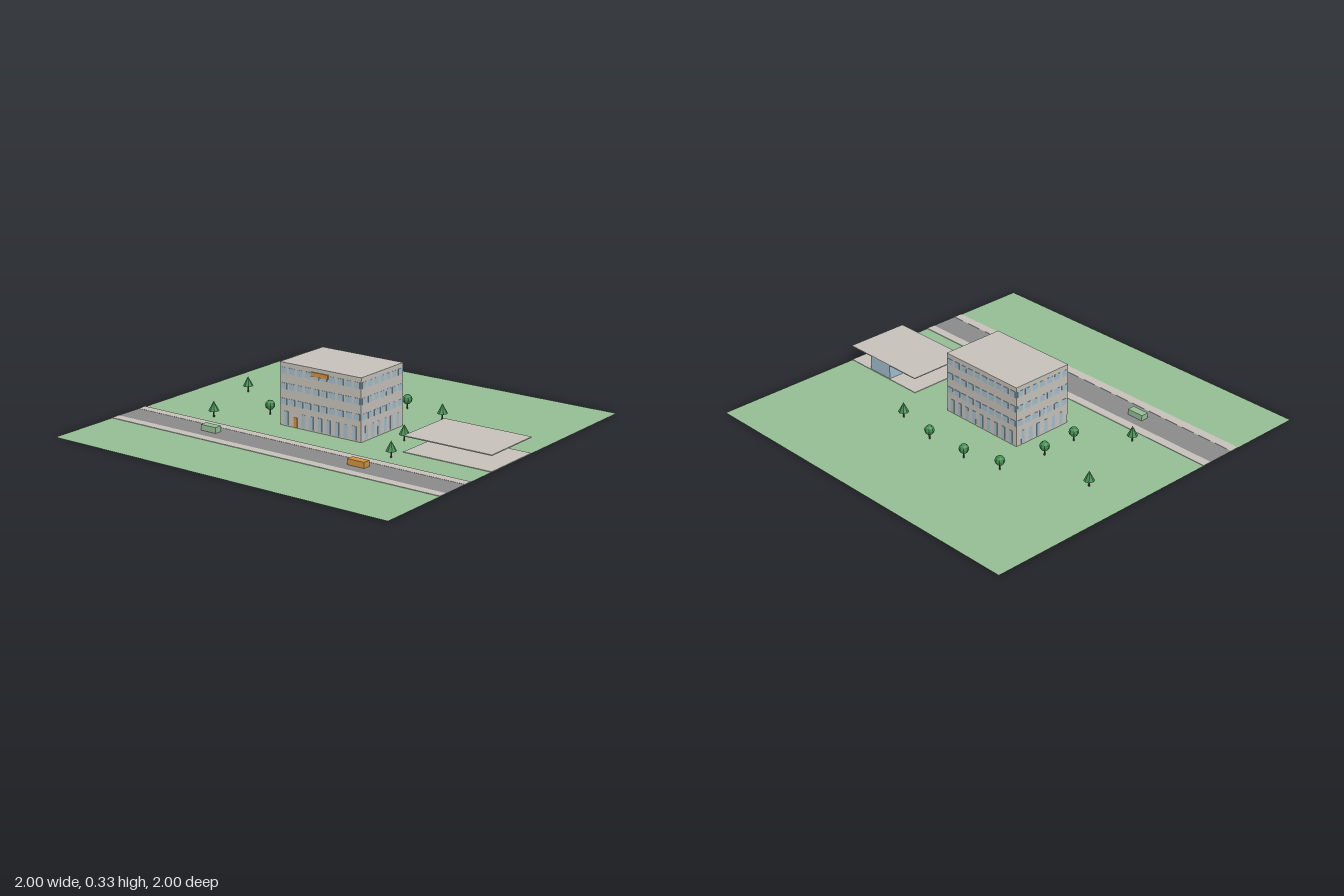
import * as THREE from 'three';

const mat = (name, color, extra = {}) => {
  const m = new THREE.MeshStandardMaterial({ color, ...extra });
  m.name = name;
  return m;
};

export function createModel() {
  const model = new THREE.Group();
  model.name = 'cityBlock';

  const grass = mat('grass green', 0x95bd95, { side: THREE.DoubleSide });
  const concrete = mat('concrete', 0xc5c0b9);
  const asphalt = mat('asphalt', 0x8a8a8a);
  const glass = mat('window blue', 0xa0bdcc);
  const orange = mat('orange', 0xd0913e);
  const carGreen = mat('car green', 0x95bd95);
  const leaf = mat('leaf green', 0x428c50, { flatShading: true });
  const bark = mat('bark', 0x5a4a3c, { flatShading: true });

  const add = (parent, name, geometry, material, x = 0, y = 0, z = 0) => {
    const mesh = new THREE.Mesh(geometry, material);
    mesh.name = name;
    mesh.position.set(x, y, z);
    parent.add(mesh);
    return mesh;
  };
  // Box given by its extents along each axis
  const box = (parent, name, material, [x0, x1], [y0, y1], [z0, z1]) =>
    add(parent, name, new THREE.BoxGeometry(x1 - x0, y1 - y0, z1 - z0), material,
      (x0 + x1) / 2, (y0 + y1) / 2, (z0 + z1) / 2);

  // Lawn, road and the two pavements
  add(model, 'lawn', new THREE.PlaneGeometry(2, 2).rotateX(-Math.PI / 2), grass, 0, 0.001, 0);
  box(model, 'road', asphalt, [-1, 1], [0.0015, 0.003], [0.4, 0.55]);
  box(model, 'nearPavement', concrete, [-1, 1], [0.0015, 0.004], [0.55, 0.6]);
  box(model, 'farPavement', concrete, [-1, 1], [0.0015, 0.004], [0.35, 0.4]);

  // Main building
  const building = new THREE.Group();
  building.name = 'building';
  model.add(building);
  const W = 0.25, D = 0.175;
  box(building, 'walls', concrete, [-W, W], [0, 0.328], [-D, D]);

  // Window rows: each facade is a group turned to face outwards
  const upperPane = new THREE.BoxGeometry(0.035, 0.032, 0.004);
  const groundPane = new THREE.BoxGeometry(0.022, 0.07, 0.004);
  const facade = (name, angle, distance, upperCount, groundCount, groundStep, skip = -1) => {
    const face = new THREE.Group();
    face.name = name;
    face.rotation.y = angle;
    building.add(face);
    for (const y of [0.127, 0.207, 0.287]) {
      for (let i = 0; i < upperCount; i++) {
        add(face, 'upperWindow', upperPane, glass, (i - (upperCount - 1) / 2) * 0.05, y, distance);
      }
    }
    for (let i = 0; i < groundCount; i++) {
      if (i !== skip) {
        add(face, 'groundWindow', groundPane, glass,
          (i - (groundCount - 1) / 2) * groundStep, 0.043, distance);
      }
    }
  };
  facade('frontFacade', 0, D, 10, 9, 0.0525, 1);
  facade('backFacade', Math.PI, D, 10, 9, 0.0525);
  facade('leftFacade', Math.PI / 2, W - 0.001, 7, 6, 0.0525);
  facade('rightFacade', -Math.PI / 2, W - 0.001, 7, 6, 0.0525);
  box(building, 'door', orange, [-0.163, -0.142], [0.003, 0.055], [D - 0.002, D + 0.003]);
  box(building, 'signBoard', orange, [-0.053, 0.052], [0.286, 0.308], [D - 0.002, D + 0.006]);

  // Covered forecourt with a glazed kiosk
  const forecourt = new THREE.Group();
  forecourt.name = 'forecourt';
  model.add(forecourt);
  box(forecourt, 'pad', concrete, [0.5, 1], [0, 0.004], [-D, D]);
  box(forecourt, 'canopy', concrete, [0.5, 1], [0.081, 0.086], [-D, D]);
  box(forecourt, 'kiosk', glass, [0.7, 0.85], [0.004, 0.081], [-0.172, -0.03]);

  // Cars
  box(model, 'greenCar', carGreen, [-0.5, -0.405], [0.004, 0.034], [0.45, 0.492]);
  box(model, 'orangeCar', orange, [0.402, 0.5], [0.004, 0.034], [0.45, 0.492]);

  // Trees: pointed ones and round ones
  const trunkGeo = new THREE.CylinderGeometry(0.004, 0.004, 0.036, 6);
  const coneGeo = new THREE.ConeGeometry(0.028, 0.052, 8);
  const ballGeo = new THREE.SphereGeometry(0.026, 8, 6);
  const plant = (name, crown, crownY, spots) => {
    for (const [x, z] of spots) {
      const tree = new THREE.Group();
      tree.name = name;
      tree.position.set(x, 0, z);
      add(tree, 'trunk', trunkGeo, bark, 0, 0.019, 0);
      add(tree, 'crown', crown, leaf, 0, crownY, 0);
      model.add(tree);
    }
  };
  plant('pointedTree', coneGeo, 0.06,
    [[-0.75, -0.18], [-0.6, 0.275], [0.5, 0.275], [0.4, 0.025], [0.35, -0.38]]);
  plant('roundTree', ballGeo, 0.052,
    [[-0.35, -0.38], [-0.15, -0.43], [0.1, -0.43], [-0.4, -0.13], [-0.4, 0.07]]);

  return model;
}
